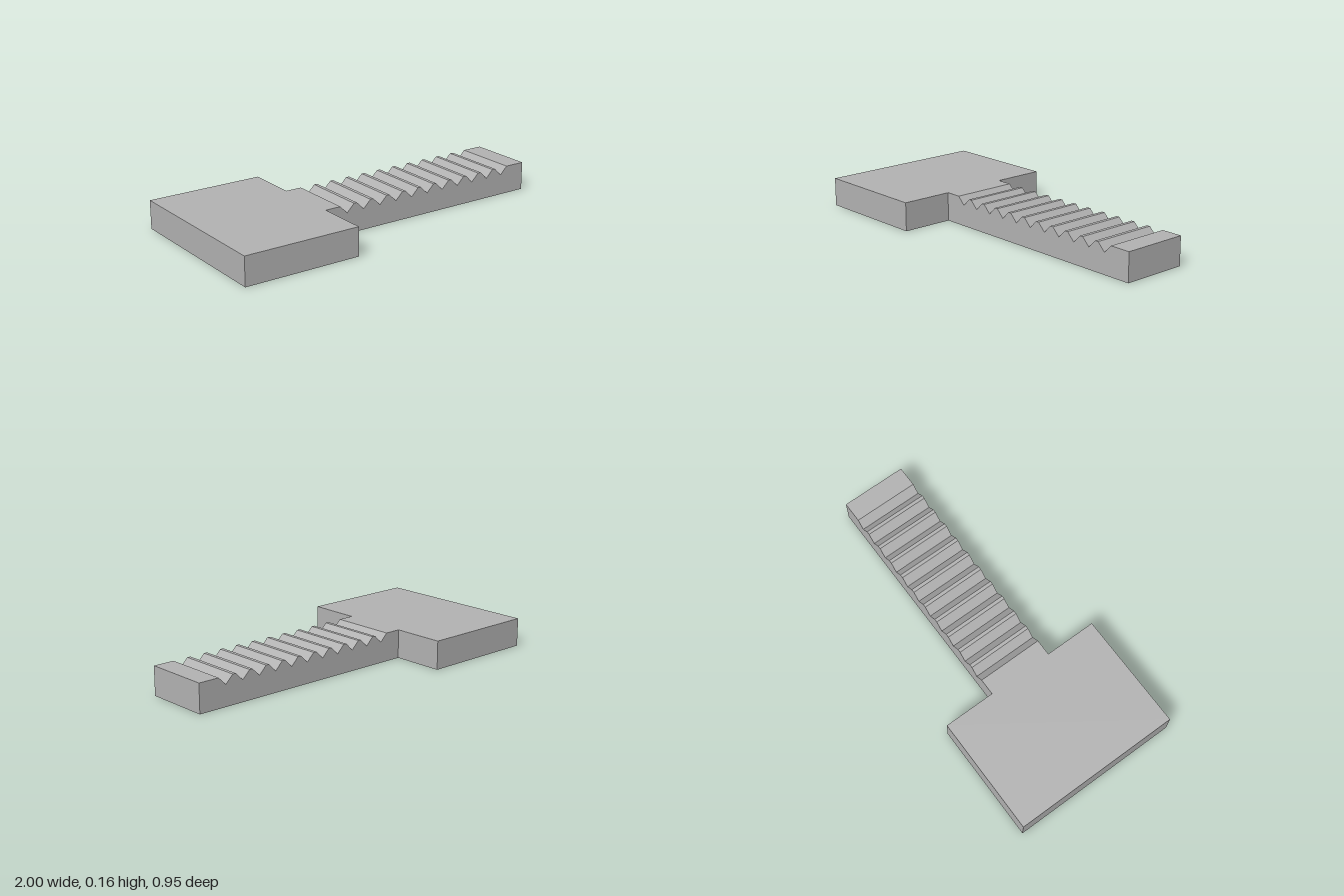
import * as THREE from 'three';

const H = 0.158;          // overall thickness
const HEAD_X = -0.345;    // where the wide head meets the bar
const BAR_Z = 0.184;      // half width of the bar
const PITCH = 0.105;      // tooth spacing
const SLOT_W = 0.038, SLOT_D = 0.045;

// underside slots: [x, half length]
const SLOTS = [[0.89, 0.08], [0.785, 0.14], [0.68, 0.08], [0.575, 0.08]];
const SLOT_Z = 0.015;

function rect(Type, x0, x1, y0, y1) {
  return new Type([[x0, y0], [x1, y0], [x1, y1], [x0, y1]].map(p => new THREE.Vector2(...p)));
}

// toothed bar: side profile extruded across z, with its underside left open
function rackGeometry() {
  const s = new THREE.Shape();
  s.moveTo(HEAD_X, 0);
  s.lineTo(1, 0);
  s.lineTo(1, H);
  for (let i = 10; i >= 0; i--) {
    const x = -0.211 + i * PITCH;
    s.lineTo(x + 0.043, H);
    s.lineTo(x, 0.115);
    s.lineTo(x - 0.043, H);
  }
  s.lineTo(HEAD_X, H);
  s.closePath();
  const g = new THREE.ExtrudeGeometry(s, { depth: 2 * BAR_Z, bevelEnabled: false }).toNonIndexed?.call(
    new THREE.ExtrudeGeometry(s, { depth: 2 * BAR_Z, bevelEnabled: false }));
  g.translate(0, 0, -BAR_Z);
  const p = g.attributes.position, kept = [];
  for (let i = 0; i < p.count; i += 3) {
    const onFloor = [0, 1, 2].every(k => Math.abs(p.getY(i + k)) < 1e-6);
    if (!onFloor) for (let k = 0; k < 3; k++) kept.push(p.getX(i + k), p.getY(i + k), p.getZ(i + k));
  }
  const out = new THREE.BufferGeometry();
  out.setAttribute('position', new THREE.Float32BufferAttribute(kept, 3));
  out.computeVertexNormals();
  return out;
}

// flat underside of the bar, pierced by the slots
function undersideGeometry() {
  const s = rect(THREE.Shape, HEAD_X, 1, -BAR_Z, BAR_Z);
  for (const [x, half] of SLOTS) {
    s.holes.push(rect(THREE.Path, x - SLOT_W / 2, x + SLOT_W / 2, SLOT_Z - half, SLOT_Z + half));
  }
  return new THREE.ShapeGeometry(s).rotateX(Math.PI / 2);
}

// blind pocket: box turned inside out, without its bottom face
function pocketGeometry(half) {
  const g = new THREE.BoxGeometry(SLOT_W, SLOT_D, 2 * half);
  const index = Array.from(g.index.array);
  index.splice(18, 6);
  g.setIndex(index.reverse());
  g.clearGroups();
  g.computeVertexNormals();
  return g;
}

export function createModel() {
  const group = new THREE.Group();
  const grey = new THREE.MeshStandardMaterial({ color: 0xb2b2b2 });
  grey.name = 'grey';

  const add = (name, geometry, x = 0, y = 0, z = 0) => {
    const m = new THREE.Mesh(geometry, grey);
    m.name = name;
    m.position.set(x, y, z);
    group.add(m);
  };

  add('head', new THREE.BoxGeometry(HEAD_X + 1, H, 0.946), (HEAD_X - 1) / 2, H / 2);
  add('toothedBar', rackGeometry());
  add('barUnderside', undersideGeometry());
  SLOTS.forEach(([x, half], i) => add('slot' + (i + 1), pocketGeometry(half), x, SLOT_D / 2, SLOT_Z));
  return group;
}
